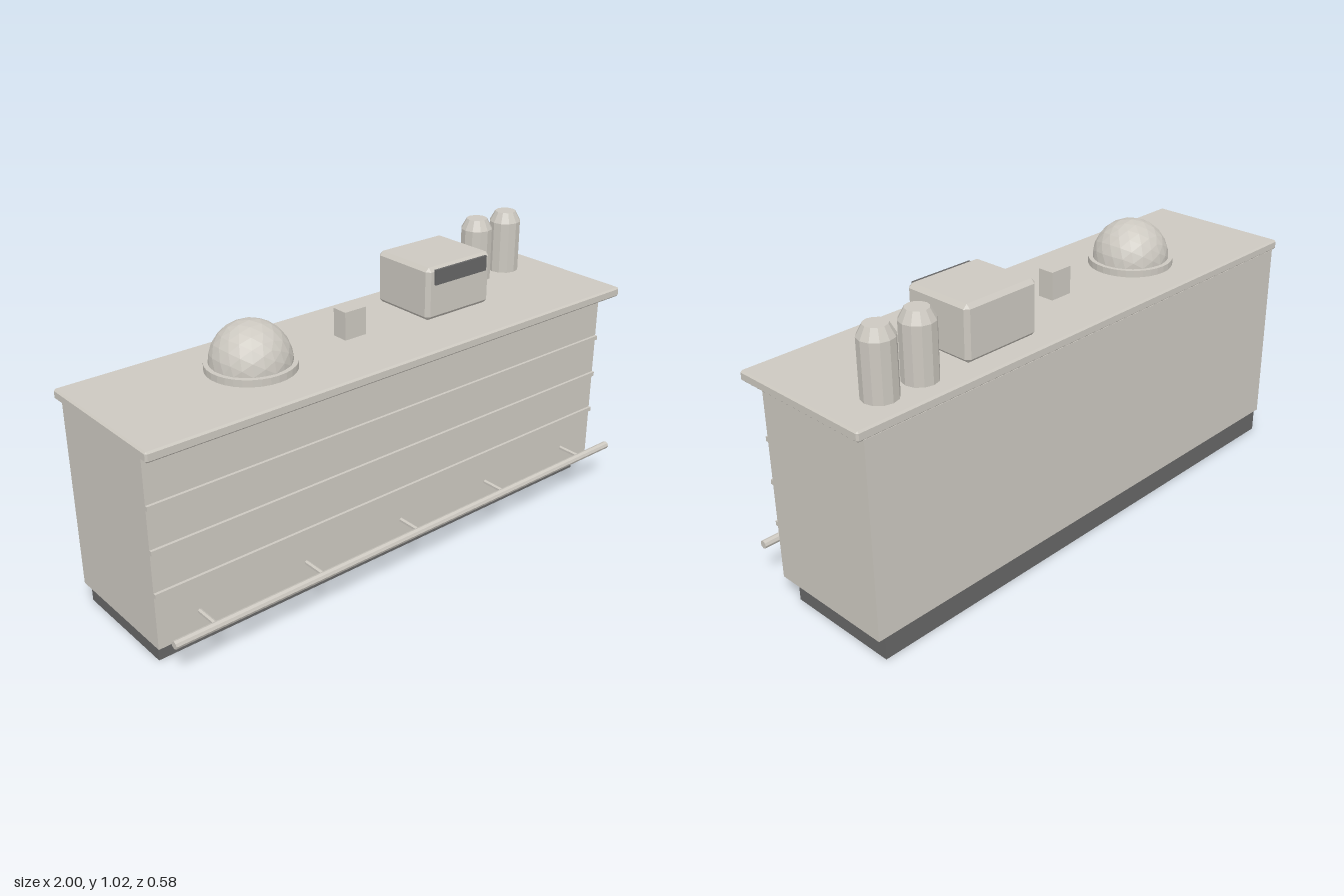
import * as THREE from 'three';
import { ConvexGeometry } from 'three/addons/geometries/ConvexGeometry.js';

const stone = new THREE.MeshStandardMaterial({ name: 'warm grey', color: 0xccc8c0, flatShading: true });
const dark = new THREE.MeshStandardMaterial({ name: 'dark grey', color: 0x666666, flatShading: true });

// Box given by its min and max corners, with optional chamfered edges
function block(name, min, max, material = stone, chamfer = 0) {
  const size = max.map((v, i) => v - min[i]);
  let geometry;
  if (chamfer) {
    const points = [];
    for (const sx of [-1, 1]) for (const sy of [-1, 1]) for (const sz of [-1, 1])
      for (let full = 0; full < 3; full++) {
        const p = [sx, sy, sz].map((s, i) => s * (size[i] / 2 - (i === full ? 0 : chamfer)));
        points.push(new THREE.Vector3(...p));
      }
    geometry = new ConvexGeometry(points);
  } else {
    geometry = new THREE.BoxGeometry(...size);
  }
  const mesh = new THREE.Mesh(geometry, material);
  mesh.name = name;
  mesh.position.set(...max.map((v, i) => (v + min[i]) / 2));
  return mesh;
}

function cylinder(name, rTop, rBottom, height, sides, x, y, z) {
  const mesh = new THREE.Mesh(new THREE.CylinderGeometry(rTop, rBottom, height, sides), stone);
  mesh.name = name;
  mesh.position.set(x, y, z);
  return mesh;
}

export function createModel() {
  const model = new THREE.Group();
  model.name = 'barCounter';
  const top = 0.79;

  // Counter
  model.add(
    block('plinth', [-0.955, 0, -0.287], [0.955, 0.078, 0.132], dark),
    block('body', [-0.977, 0.078, -0.287], [0.977, 0.757, 0.178]),
    block('countertop', [-1, 0.755, -0.289], [1, top, 0.251], stone, 0.006)
  );
  for (const y of [0.275, 0.425, 0.575])
    model.add(block('frontStrip', [-0.977, y - 0.008, 0.17], [0.977, y + 0.008, 0.188]));

  // Foot rail with its brackets
  const rail = cylinder('footRail', 0.014, 0.014, 1.955, 8, 0, 0.152, 0.275);
  rail.rotation.z = Math.PI / 2;
  model.add(rail);
  for (let i = -2; i <= 2; i++) {
    const bracket = cylinder('railBracket', 0.008, 0.008, 0.105, 6, i * 0.4125, 0.152, 0.2225);
    bracket.rotation.x = Math.PI / 2;
    model.add(bracket);
  }

  // Faceted dome on a round tray
  model.add(cylinder('domeTray', 0.15, 0.15, 0.024, 32, -0.452, top + 0.012, -0.031));
  const dome = new THREE.Mesh(new THREE.IcosahedronGeometry(0.135, 3), stone);
  dome.name = 'dome';
  dome.position.set(-0.452, 0.814, -0.031);
  model.add(dome);

  // Small box, and appliance with a dark panel
  model.add(
    block('smallBox', [-0.091, top, -0.067], [-0.003, 0.888, -0.007]),
    block('appliance', [0.225, top, -0.215], [0.523, 0.979, 0.048], stone, 0.014),
    block('appliancePanel', [0.254, 0.918, 0.047], [0.494, 0.972, 0.056], dark)
  );

  // Canisters with tapered tops
  for (const x of [0.675, 0.825])
    model.add(
      cylinder('canister', 0.058, 0.058, 0.19, 12, x, top + 0.095, -0.176),
      cylinder('canisterTop', 0.038, 0.058, 0.037, 12, x, 0.9985, -0.176)
    );

  return model;
}
